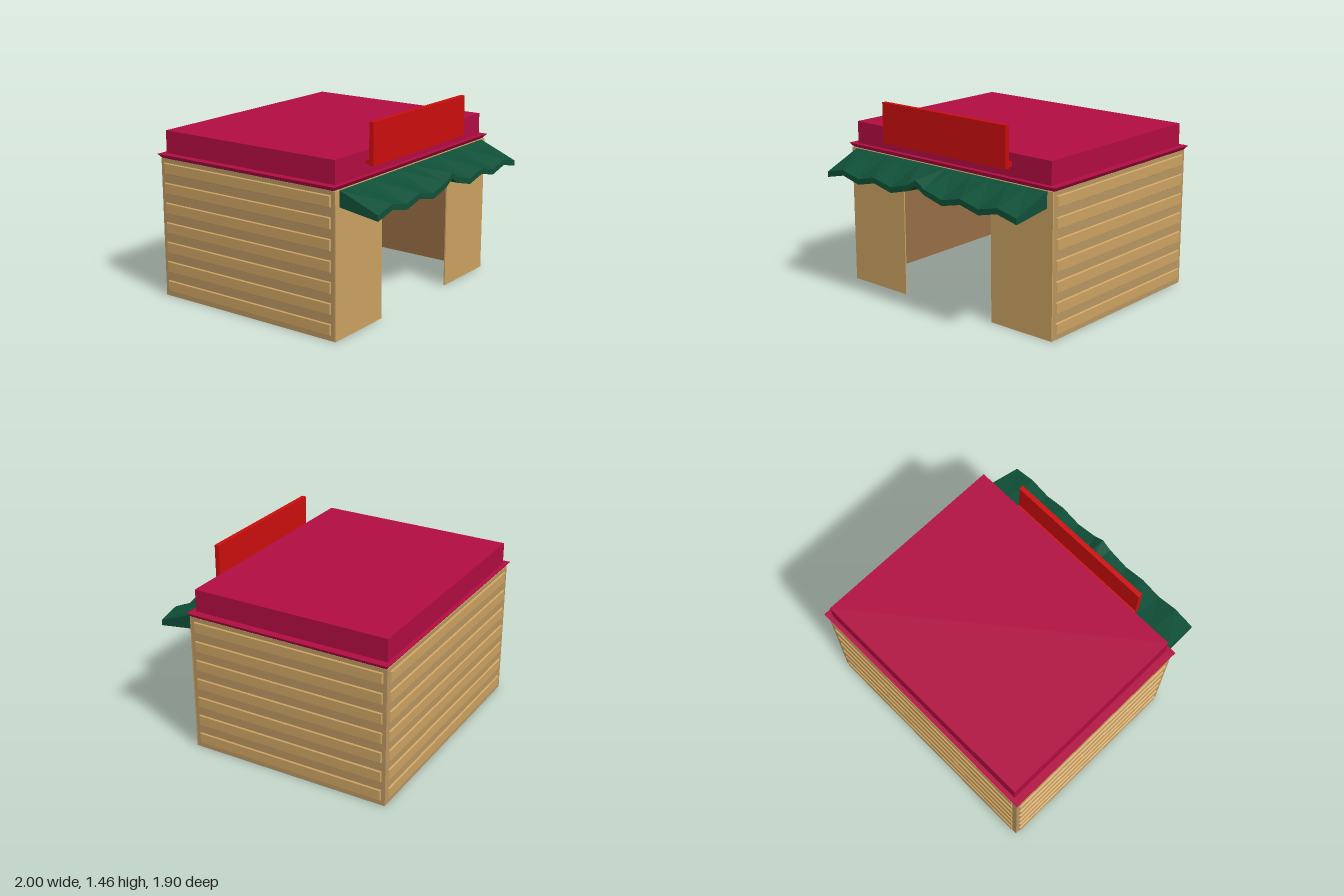
import * as THREE from 'three';

const mat = (name, color) => {
  const m = new THREE.MeshStandardMaterial({ color });
  m.name = name;
  return m;
};

// Box whose face on the positive or negative side of one axis is pulled inward
function taperedBox(w, h, d, axis, side, inset) {
  const g = new THREE.BoxGeometry(w, h, d);
  const p = g.attributes.position;
  for (let i = 0; i < p.count; i++) {
    const v = new THREE.Vector3().fromBufferAttribute(p, i);
    if (Math.sign(v[axis]) === side) {
      for (const a of ['x', 'y', 'z']) if (a !== axis) v[a] -= Math.sign(v[a]) * inset;
      p.setXYZ(i, v.x, v.y, v.z);
    }
  }
  const flat = g.toNonIndexed();
  flat.computeVertexNormals();
  return flat;
}

// Solid scalloped awning lofted across x
function awningGeometry() {
  const half = [[0, 1.03], [0.08, 0.98], [0.25, 0.935], [0.42, 0.975], [0.585, 0.935], [0.75, 0.975], [0.92, 0.935]];
  const stations = [...half.slice(1).reverse().map(([x, y]) => [-x, y]), ...half];
  const sections = stations.map(([x, y]) => [
    [x * 1.009, 1.057, 0.645], [x, y, 0.947], [x, y - 0.042, 0.947], [x * 1.009, 0.94, 0.645],
  ]);
  const pos = [];
  const quad = (a, b, c, d) => pos.push(...a, ...b, ...c, ...a, ...c, ...d);
  for (let i = 0; i < sections.length - 1; i++) {
    const a = sections[i], b = sections[i + 1];
    for (let j = 0; j < 4; j++) {
      const k = (j + 1) % 4;
      quad(a[j], a[k], b[k], b[j]);
    }
  }
  quad(...sections[sections.length - 1]);
  quad(...[...sections[0]].reverse());
  const g = new THREE.BufferGeometry();
  g.setAttribute('position', new THREE.Float32BufferAttribute(pos, 3));
  g.computeVertexNormals();
  return g;
}

export function createModel() {
  const model = new THREE.Group();
  model.name = 'marketStall';
  const tan = mat('tanWood', 0xcaa161);
  const base = mat('wallTan', 0xb6945f);
  const brown = mat('interiorBrown', 0x976d44);
  const crimson = mat('roofCrimson', 0xb00c41);
  const red = mat('signRed', 0xcb0d0d);
  const green = mat('awningGreen', 0x0f4f38);

  const add = (name, geo, material, x, y, z, parent = model) => {
    const m = new THREE.Mesh(geo, material);
    m.name = name;
    m.position.set(x, y, z);
    parent.add(m);
    return m;
  };
  const box = (name, w, h, d, material, x, y, z) =>
    add(name, new THREE.BoxGeometry(w, h, d), material, x, y, z);

  // Side walls, brown on the inner face, tan on the bottom rim
  for (const s of [1, -1]) {
    const faces = [s > 0 ? base : brown, s > 0 ? brown : base, tan, tan, tan, base];
    box(s > 0 ? 'leftWall' : 'rightWall', 0.05, 1.06, 1.57, faces, s * 0.953, 0.53, -0.148);
  }
  // Back wall and ceiling
  box('backWall', 1.856, 1.06, 0.05, [tan, tan, tan, tan, brown, base], 0, 0.53, -0.908);
  box('ceiling', 1.856, 0.01, 1.53, brown, 0, 1.05, -0.125);

  // Front wall with a wide doorway
  const front = [tan, tan, tan, tan, tan, brown];
  for (const s of [1, -1])
    box(s > 0 ? 'leftFrontPanel' : 'rightFrontPanel', 0.548, 1.06, 0.01, front, s * 0.704, 0.53, 0.64);
  box('doorHeader', 0.86, 0.12, 0.01, front, 0, 1.0, 0.64);

  // Horizontal bevelled slats on both sides and the back
  const slats = [
    ['leftSlats', 1.525, Math.PI / 2, 0.978, -0.148],
    ['rightSlats', 1.525, -Math.PI / 2, -0.978, -0.148],
    ['backSlats', 1.89, Math.PI, 0, -0.933],
  ];
  for (const [name, length, turn, x, z] of slats) {
    const group = new THREE.Group();
    group.name = name;
    group.position.set(x, 0, z);
    group.rotation.y = turn;
    model.add(group);
    const geo = taperedBox(length, 0.098, 0.022, 'z', 1, 0.012);
    for (let i = 0; i < 7; i++) add('slat', geo, tan, 0, 0.08 + i * 0.151, 0, group);
  }

  // Flared eave and flat roof block
  add('eave', taperedBox(2, 0.032, 1.605, 'y', -1, 0.025), crimson, 0, 1.075, -0.148);
  box('roofBlock', 1.88, 0.17, 1.53, crimson, 0, 1.175, -0.15);

  // Blank sign board and its ledge
  box('signBoard', 1.19, 0.305, 0.035, red, 0, 1.308, 0.664);
  box('signLedge', 1.19, 0.035, 0.033, red, 0, 1.182, 0.631);

  add('awning', awningGeometry(), green, 0, 0, 0);
  return model;
}
